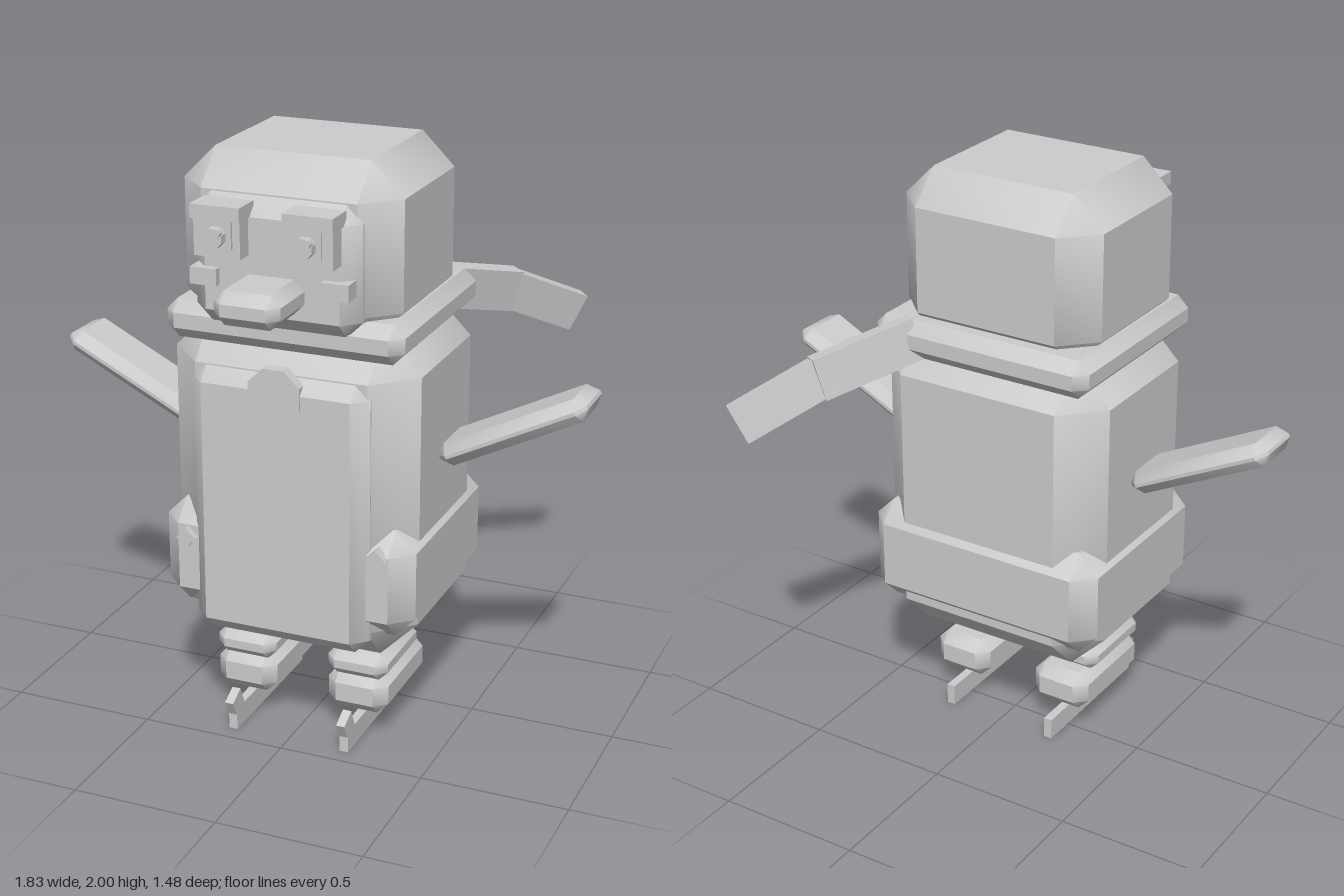
import * as THREE from 'three';
import { toCreasedNormals } from 'three/addons/utils/BufferGeometryUtils.js';
import { ConvexGeometry } from 'three/addons/geometries/ConvexGeometry.js';

const grey = new THREE.MeshStandardMaterial({ color: 0xcccccc });
grey.name = 'plain grey';

function add(parent, name, geometry) {
  const mesh = new THREE.Mesh(geometry, grey);
  mesh.name = name;
  parent.add(mesh);
  return mesh;
}

// Box with 45 degree bevels: flat faces, softly shaded bevels
function bevelBox(w, h, d, bevel) {
  const half = [w / 2, h / 2, d / 2];
  const points = [];
  for (const sx of [-1, 1]) for (const sy of [-1, 1]) for (const sz of [-1, 1]) {
    for (let axis = 0; axis < 3; axis++) {
      const c = [sx, sy, sz].map((s, i) => s * (half[i] - (i === axis ? 0 : bevel)));
      points.push(new THREE.Vector3(...c));
    }
  }
  return toCreasedNormals(new ConvexGeometry(points), 0.7);
}

// Boxes given by their limits on each axis
function block(parent, name, [x0, x1], [y0, y1], [z0, z1], bevel = 0) {
  const size = [x1 - x0, y1 - y0, z1 - z0];
  const geometry = bevel ? bevelBox(...size, bevel) : new THREE.BoxGeometry(...size);
  const mesh = add(parent, name, geometry);
  mesh.position.set((x0 + x1) / 2, (y0 + y1) / 2, (z0 + z1) / 2);
  return mesh;
}

// Disc facing the front
function disc(parent, name, radius, depth, sides, x, y, z) {
  const geometry = new THREE.CylinderGeometry(radius, radius, depth, sides)
    .rotateY(Math.PI / sides).rotateX(Math.PI / 2).toNonIndexed();
  geometry.computeVertexNormals();
  const mesh = add(parent, name, geometry);
  mesh.position.set(x, y, z);
  return mesh;
}

// Flat strip of cloth running from a to b
function strip(parent, name, a, b, up, height, thickness) {
  const along = new THREE.Vector3().subVectors(b, a);
  const length = along.length();
  along.normalize();
  const side = new THREE.Vector3().crossVectors(along, up).normalize();
  const top = new THREE.Vector3().crossVectors(side, along);
  const mesh = add(parent, name, new THREE.BoxGeometry(length, height, thickness));
  mesh.quaternion.setFromRotationMatrix(new THREE.Matrix4().makeBasis(along, top, side));
  mesh.position.addVectors(a, b).multiplyScalar(0.5);
}

// Skate blade with a raised toe, drawn as (z, y)
function bladeGeometry() {
  const outline = [[-0.11, 0], [0.44, 0], [0.44, 0.055], [0.47, 0.11], [0.41, 0.14], [0.38, 0.075], [-0.11, 0.075]];
  const shape = new THREE.Shape(outline.map(([z, y]) => new THREE.Vector2(z, y)));
  return new THREE.ExtrudeGeometry(shape, { depth: 0.03, bevelEnabled: false })
    .translate(0, 0, -0.015).rotateY(-Math.PI / 2);
}

export function createModel() {
  const model = new THREE.Group();
  model.name = 'skatingBird';
  const V = (x, y, z) => new THREE.Vector3(x, y, z);

  // Trunk and head
  block(model, 'body', [-0.425, 0.425], [0.34, 1.45], [-0.24, 0.475], 0.13);
  block(model, 'hips', [-0.44, 0.44], [0.45, 0.82], [-0.26, 0.48], 0.07);
  block(model, 'belly', [-0.305, 0.305], [0.395, 1.32], [0.4, 0.52], 0.05);
  block(model, 'head', [-0.37, 0.37], [1.42, 2], [-0.185, 0.475], 0.11);
  block(model, 'facePlate', [-0.28, 0.28], [1.465, 1.885], [0.41, 0.53], 0.055);
  block(model, 'beak', [-0.11, 0.11], [1.54, 1.65], [0.48, 0.74], 0.035);
  disc(model, 'badge', 0.095, 0.04, 8, 0, 1.26, 0.507);

  // Scarf with a tail blown back to the left
  block(model, 'scarf', [-0.405, 0.405], [1.385, 1.515], [-0.25, 0.48], 0.04);
  const up = V(0.06, 0.12, -0.035);
  strip(model, 'scarfTailUpper', V(0.26, 1.45, -0.2), V(0.44, 1.37, -0.5), V(0.045, 0.14, -0.03), 0.145, 0.06);
  strip(model, 'scarfTailLower', V(0.42, 1.385, -0.47), V(0.605, 1.25, -0.71), up, 0.135, 0.05);

  for (const s of [-1, 1]) {
    const label = s > 0 ? 'left' : 'right';
    const span = (inner, outer) => (s > 0 ? [inner, outer] : [-outer, -inner]);

    // Eye, brow and cheek
    block(model, label + 'Brow', span(0.07, 0.235), [1.83, 1.875], [0.5, 0.605]);
    block(model, label + 'Eye', span(0.075, 0.23), [1.71, 1.84], [0.5, 0.59]);
    block(model, label + 'Iris', span(0.1, 0.195), [1.74, 1.83], [0.58, 0.6]);
    disc(model, label + 'Pupil', 0.033, 0.03, 8, s * 0.148, 1.78, 0.615);
    disc(model, label + 'EyeGlint', 0.013, 0.02, 6, s * 0.148 + 0.018, 1.8, 0.63);
    block(model, label + 'Cheek', span(0.175, 0.265), [1.605, 1.66], [0.47, 0.555]);

    // Wing held out and raised
    const wing = add(model, label + 'Wing', bevelBox(0.54, 0.08, 0.22, 0.034));
    wing.position.set(s * 0.673, 1.118, 0.11);
    wing.rotation.z = s * 0.465;

    // Small diamond on the hip
    const diamond = add(model, label + 'HipDiamond', new THREE.BoxGeometry(0.05, 0.05, 0.04));
    diamond.position.set(s * 0.333, s > 0 ? 0.745 : 0.71, 0.48);
    diamond.rotation.z = s * 0.75;

    // Leg, boot and skate
    block(model, label + 'Leg', span(0.095, 0.31), [0.22, 0.32], [0.015, 0.35], 0.035);
    block(model, label + 'Boot', span(0.095, 0.31), [0.095, 0.24], [-0.055, 0.35], 0.04);
    add(model, label + 'Blade', bladeGeometry()).position.x = s * 0.203;
  }
  return model;
}
